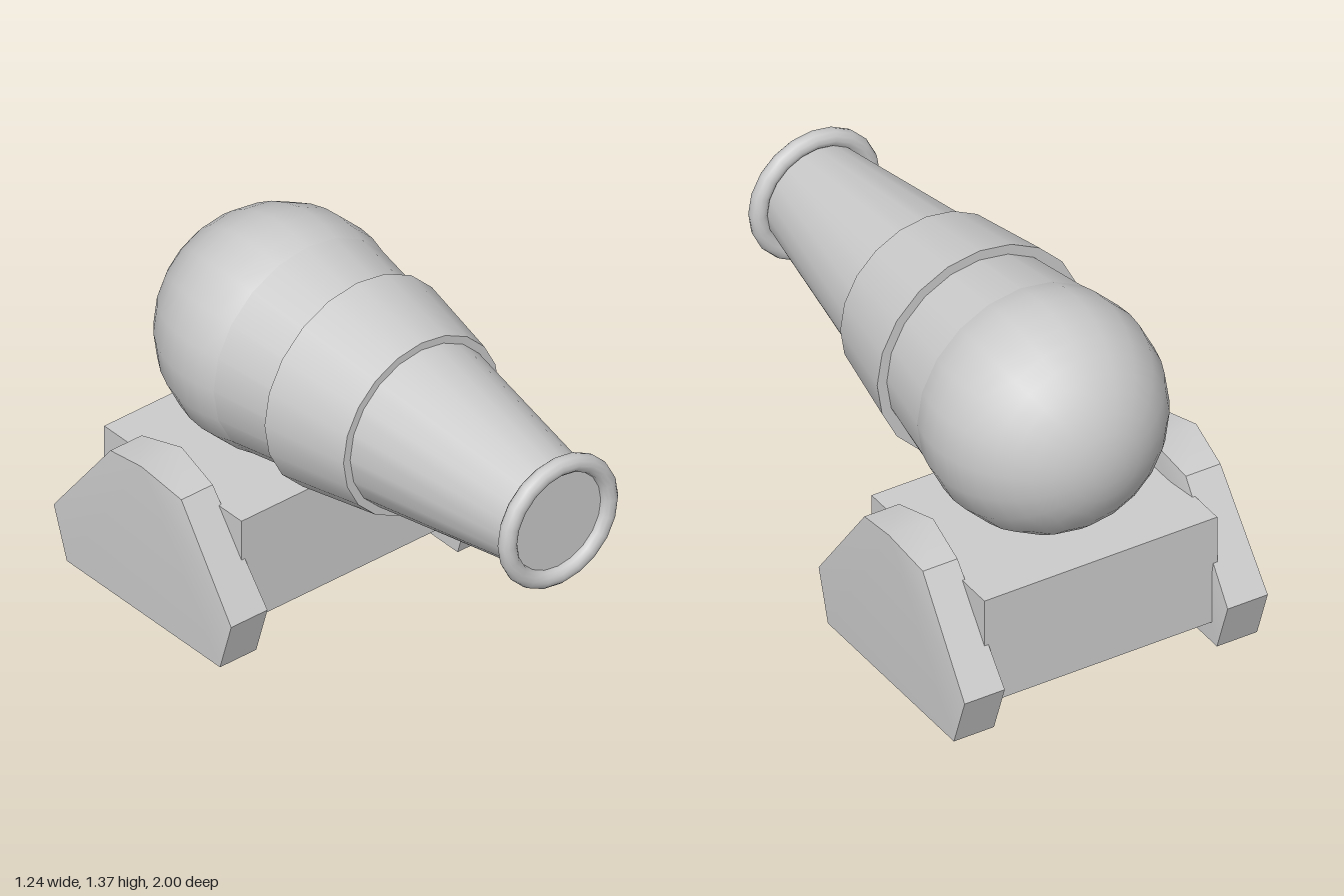
import * as THREE from 'three';
import { toCreasedNormals } from 'three/addons/utils/BufferGeometryUtils.js';

const SIDES = 20;
const AXIS_Y = 0.927; // height of the barrel's axis

// Cheek outline as [z, y, half thickness], from the peak over the front and back round
const CHEEK = [
  [-0.52, 0.625, 0.09],
  [-0.33, 0.58, 0.07],
  [-0.05, 0.2, 0.081],
  [-0.11, 0, 0.081],
  [-0.93, 0, 0.081],
  [-1.0, 0.2, 0.081],
  [-0.71, 0.58, 0.07],
];

function cheekGeometry() {
  const n = CHEEK.length;
  const positions = [];
  const index = [];
  for (const side of [1, -1]) {
    for (const [z, y, half] of CHEEK) positions.push(side * half, y, z);
  }
  // Both faces fan out from the peak
  for (let i = 1; i < n - 1; i++) {
    index.push(0, i, i + 1, n, n + i + 1, n + i);
  }
  // Rim
  for (let i = 0; i < n; i++) {
    const j = (i + 1) % n;
    index.push(i, n + i, n + j, i, n + j, j);
  }
  const geometry = new THREE.BufferGeometry();
  geometry.setAttribute('position', new THREE.Float32BufferAttribute(positions, 3));
  geometry.setIndex(index);
  return toCreasedNormals(geometry, THREE.MathUtils.degToRad(32));
}

// Tapered round section lying along z
function taper(frontRadius, backRadius, frontZ, backZ) {
  return new THREE.CylinderGeometry(frontRadius, backRadius, frontZ - backZ, SIDES)
    .rotateX(Math.PI / 2)
    .translate(0, 0, (frontZ + backZ) / 2);
}

export function createModel() {
  const model = new THREE.Group();
  const material = new THREE.MeshStandardMaterial({ color: 0xcccccc });
  const add = (parent, name, geometry) => {
    const mesh = new THREE.Mesh(geometry, material);
    mesh.name = name;
    parent.add(mesh);
    return mesh;
  };

  // Gun
  const gun = new THREE.Group();
  gun.name = 'gun';
  gun.position.y = AXIS_Y;
  model.add(gun);
  add(gun, 'barrel', taper(0.2, 0.44, 0.965, -0.515));
  add(gun, 'reinforcingBand', taper(0.348, 0.413, 0.235, -0.11));
  add(gun, 'roundBreech', new THREE.SphereGeometry(0.44, SIDES, SIDES).rotateX(Math.PI / 2))
    .position.z = -0.515;
  add(gun, 'muzzleRing', new THREE.TorusGeometry(0.226, 0.034, 12, SIDES))
    .position.z = 0.966;

  // Carriage
  add(model, 'carriageBlock', new THREE.BoxGeometry(0.94, 0.435, 0.735))
    .position.set(0, 0.3025, -0.5325);
  const cheek = cheekGeometry();
  add(model, 'leftCheek', cheek).position.x = 0.531;
  add(model, 'rightCheek', cheek).position.x = -0.531;

  return model;
}
